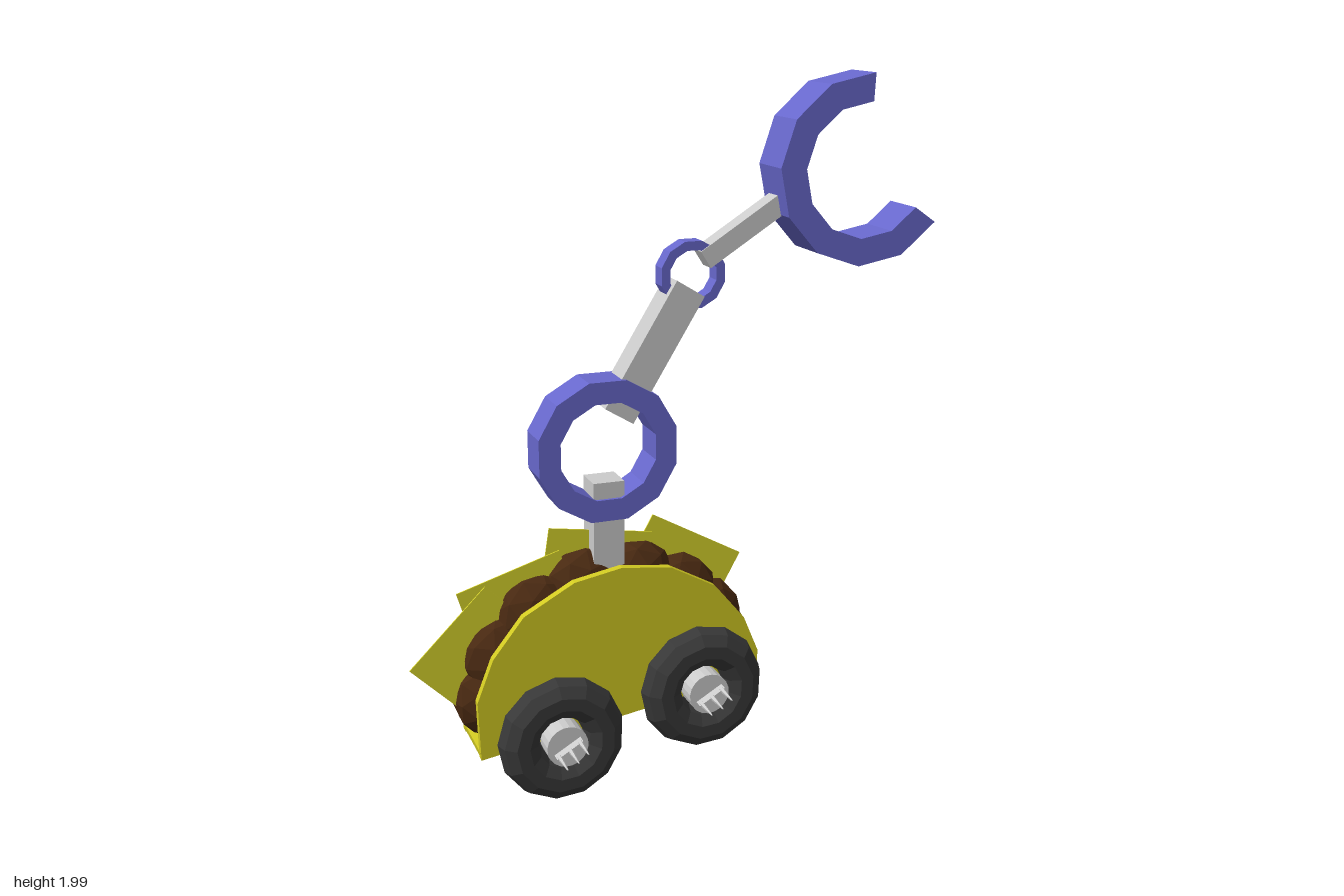
import * as THREE from 'three';

const MID = -0.05; // z of the vehicle's centre plane

const paint = (color) => new THREE.MeshStandardMaterial({ color, flatShading: true });
const yellow = paint(0xd2ca22);
const cheeseMat = paint(0xd8d42c);
yellow.side = cheeseMat.side = THREE.DoubleSide;
const brown = paint(0x4a2a12);
const rubber = paint(0x383838);
const blue = paint(0x6868cc);
const grey = paint(0xcccccc);

export function createModel() {
  const group = new THREE.Group();

  const add = (name, geometry, material, x = 0, y = 0, z = 0, parent = group) => {
    const mesh = new THREE.Mesh(geometry, material);
    mesh.name = name;
    mesh.position.set(x, y, z);
    parent.add(mesh);
    return mesh;
  };

  const extrude = (shape, depth) =>
    new THREE.ExtrudeGeometry(shape, { depth, bevelEnabled: false }).translate(0, 0, -depth / 2);

  const arc = (radius, from, to, steps) =>
    Array.from({ length: steps + 1 }, (_, i) => {
      const a = from + ((to - from) * i) / steps;
      return new THREE.Vector2(Math.cos(a) * radius, Math.sin(a) * radius);
    });

  // Faceted ring with a through hole
  const ring = (name, x, y, outer, inner, depth) => {
    const start = Math.PI / 12;
    const shape = new THREE.Shape(arc(outer, start, start + Math.PI * 2, 12).slice(0, 12));
    shape.holes.push(new THREE.Path(arc(inner, start, start + Math.PI * 2, 12).slice(0, 12)));
    return add(name, extrude(shape, depth), blue, x, y, MID + 0.005);
  };

  // Square bar between two points of the xy plane
  const bar = (name, x1, y1, x2, y2, width, depth) => {
    const geometry = new THREE.BoxGeometry(width, Math.hypot(x2 - x1, y2 - y1), depth);
    const mesh = add(name, geometry, grey, (x1 + x2) / 2, (y1 + y2) / 2, MID + 0.005);
    mesh.rotation.z = Math.atan2(y2 - y1, x2 - x1) - Math.PI / 2;
  };

  // Shell: two curved side plates joined by a sloping floor
  const outline = [
    [-0.6, 0.16], [0.235, 0.285], [0.235, 0.36], [0.19, 0.47], [0.1, 0.58], [-0.035, 0.655],
    [-0.18, 0.675], [-0.32, 0.65], [-0.467, 0.57], [-0.557, 0.457], [-0.605, 0.335],
  ].map(([x, y]) => new THREE.Vector2(x, y));
  for (const [name, z] of [['frontShell', 0.043], ['backShell', -0.143]]) {
    add(name, extrude(new THREE.Shape(outline), 0.024), yellow, 0, 0, z);
  }
  const floor = add('shellFloor', new THREE.BoxGeometry(0.845, 0.022, 0.2), yellow, -0.182, 0.234, MID);
  floor.rotation.z = Math.atan2(0.125, 0.835);

  // Filling: a flattened core and a row of lumps following the rim
  const core = add('fillingCore', new THREE.IcosahedronGeometry(1, 2), brown, -0.2, 0.42, MID);
  core.scale.set(0.39, 0.23, 0.08);
  core.rotation.z = 0.1;
  const lumps = [
    [-0.53, 0.3], [-0.5, 0.42], [-0.4, 0.53], [-0.26, 0.592], [-0.11, 0.592],
    [0.02, 0.535], [0.1, 0.45], [0.12, 0.385],
  ];
  lumps.forEach(([x, y], i) => {
    const lump = add('fillingLump', new THREE.IcosahedronGeometry(1, 1), brown, x, y, MID);
    lump.scale.set(0.122, 0.122, 0.078);
    lump.rotation.z = i * 0.7;
  });

  // Thin square slices, each given by its outer top-left corner and tilt
  const slices = [
    [-0.77, 0.42, 0.78], [-0.63, 0.625, 0.29], [-0.36, 0.78, -0.16], [-0.05, 0.78, -0.51],
  ];
  slices.forEach(([x, y, tilt], i) => {
    const geometry = new THREE.BoxGeometry(0.31, 0.31, 0.004).translate(0.155, -0.155, 0);
    add('cheeseSlice', geometry, cheeseMat, x, y, MID + 0.012 - i * 0.005).rotation.z = tilt;
  });

  // Wheels: tyres on both sides, hubs with a pronged fork on the front side
  for (const [x, y] of [[-0.37, 0.193], [0.055, 0.28]]) {
    for (const z of [0.06, -0.165]) {
      const tyre = add('tyre', new THREE.TorusGeometry(0.125, 0.06, 10, 13), rubber, x, y, z);
      tyre.rotation.z = 0.2;
    }
    const hub = new THREE.Group();
    hub.name = 'hub';
    hub.position.set(x, y, 0);
    hub.rotation.z = 0.52;
    group.add(hub);
    const disc = new THREE.CylinderGeometry(0.06, 0.06, 0.07, 20).rotateX(Math.PI / 2);
    add('hubDisc', disc, grey, 0, 0, 0.09, hub);
    add('forkBase', new THREE.BoxGeometry(0.088, 0.008, 0.03), grey, 0, 0, 0.138, hub);
    for (const px of [-0.035, 0, 0.035]) {
      const prong = new THREE.CylinderGeometry(0.002, 0.008, 0.075, 5).rotateX(Math.PI / 2);
      add('forkProng', prong, grey, px, 0, px === 0 ? 0.188 : 0.181, hub);
    }
  }

  // Arm: three bars linked by two ring joints
  bar('lowerArm', -0.2, 0.6, -0.198, 0.91, 0.09, 0.09);
  ring('shoulderRing', -0.2, 1.0, 0.206, 0.142, 0.11);
  bar('middleArm', -0.165, 1.095, 0.045, 1.435, 0.095, 0.088);
  ring('elbowRing', 0.06, 1.468, 0.096, 0.07, 0.05);
  bar('upperArm', 0.095, 1.508, 0.345, 1.665, 0.055, 0.058);

  // Open claw at the end of the arm
  const from = THREE.MathUtils.degToRad(87);
  const to = THREE.MathUtils.degToRad(325);
  const claw = new THREE.Shape([...arc(0.265, from, to, 8), ...arc(0.188, to, from, 8)]);
  add('claw', extrude(claw, 0.145), blue, 0.555, 1.735, MID + 0.015);

  return group;
}
